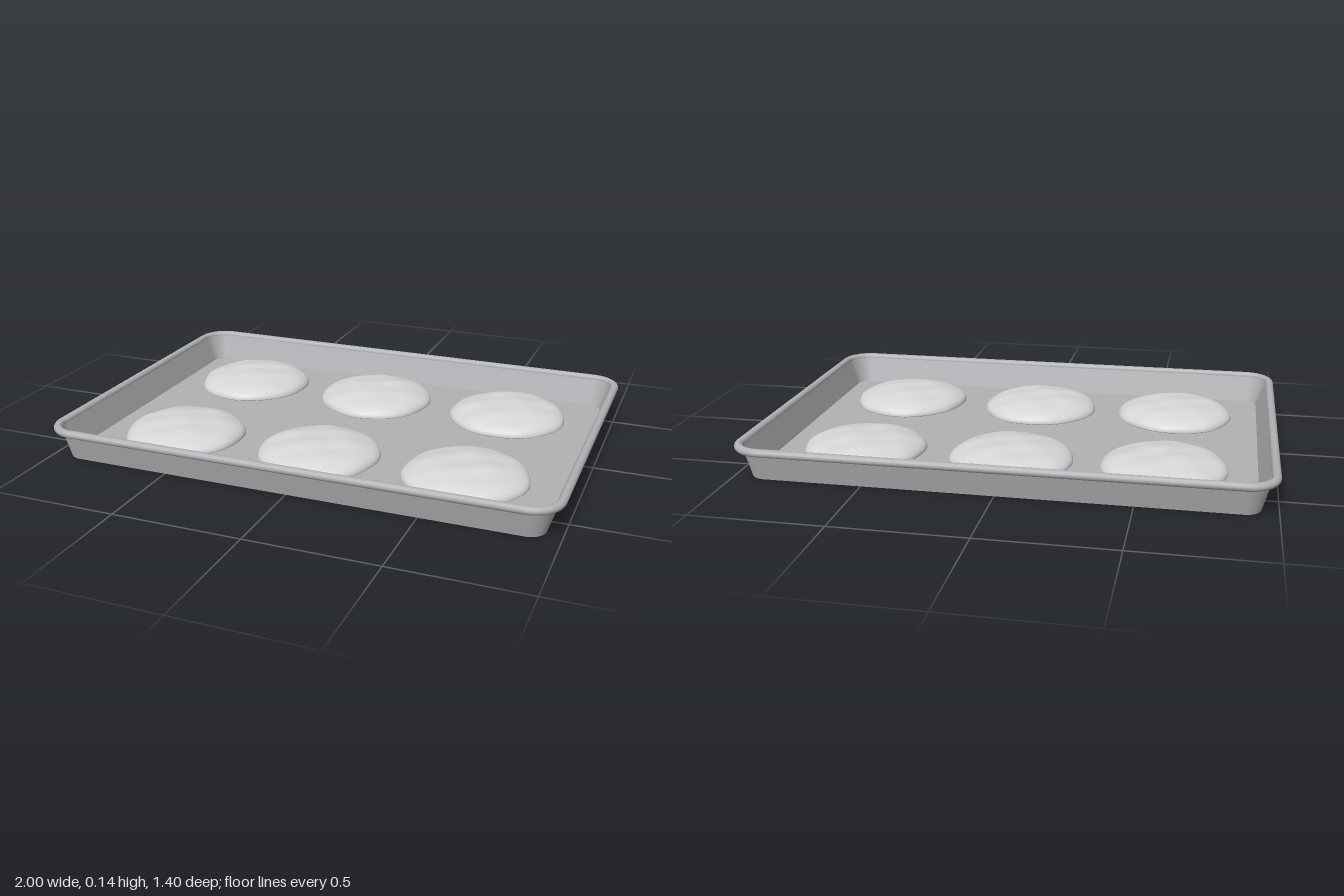
import * as THREE from 'three';
import { mergeVertices } from 'three/addons/utils/BufferGeometryUtils.js';

const HALF_X = 1, HALF_Z = 0.7, CORNER = 0.12, STEPS = 10;

// Rounded rectangle loop, pulled in from the rim's outer edge by inset
function ring(inset, y) {
  const r = Math.max(CORNER - inset, 0);
  const cx = HALF_X - inset - r, cz = HALF_Z - inset - r;
  const points = [];
  [[1, 1], [-1, 1], [-1, -1], [1, -1]].forEach(([sx, sz], q) => {
    for (let i = 0; i <= STEPS; i++) {
      const a = (q + i / STEPS) * Math.PI / 2;
      points.push(sx * cx + r * Math.cos(a), y, sz * cz + r * Math.sin(a));
    }
  });
  return points;
}

// Smooth band through a list of [inset, y] loops
function band(profile) {
  const n = 4 * (STEPS + 1), index = [];
  for (let j = 0; j < profile.length - 1; j++) {
    for (let i = 0; i < n; i++) {
      const a = j * n + i, b = j * n + (i + 1) % n;
      index.push(a, a + n, b, b, a + n, b + n);
    }
  }
  const g = new THREE.BufferGeometry();
  g.setAttribute('position', new THREE.Float32BufferAttribute(profile.flatMap(([d, y]) => ring(d, y)), 3));
  g.setIndex(index);
  g.computeVertexNormals();
  return g;
}

// Puffy, slightly uneven round with a flat underside
function doughGeometry(seed) {
  let g = new THREE.IcosahedronGeometry(1, 20);
  g.deleteAttribute('normal');
  g.deleteAttribute('uv');
  g = mergeVertices(g, 1e-4);
  const p = g.attributes.position;
  for (let i = 0; i < p.count; i++) {
    const x = p.getX(i), y = p.getY(i), z = p.getZ(i);
    const a = Math.atan2(z, x), rim = Math.hypot(x, z);
    const wobble = 1 + rim * (0.012 * Math.sin(3 * a + seed * 2.1) + 0.008 * Math.sin(7 * a + seed * 4.3));
    const lumps = 0.003 * (Math.sin(7 * x + seed * 3) * Math.cos(6 * z + seed)
      + 0.6 * Math.sin(11 * z + 5 * x + seed * 5));
    const height = y > 0 ? 0.066 * Math.pow(y, 0.9) + lumps * y : 0.02 * y;
    p.setXYZ(i, x * 0.238 * wobble, height, z * 0.238 * wobble);
  }
  g.computeVertexNormals();
  return g;
}

export function createModel() {
  const metal = new THREE.MeshStandardMaterial({ color: 0xb0b1b4 });
  metal.name = 'tray metal';
  const dough = new THREE.MeshStandardMaterial({ color: 0xd6d6d6 });
  dough.name = 'pale dough';

  const model = new THREE.Group();
  model.name = 'bakingTray';
  const add = (name, geometry, material) => {
    const mesh = new THREE.Mesh(geometry, material);
    mesh.name = name;
    model.add(mesh);
    return mesh;
  };

  // Tray pan
  add('trayBottom', band([[HALF_Z, 0], [0.06, 0]]), metal);
  add('outerWall', band([[0.06, 0], [0.03, 0.112]]), metal);
  add('innerWall', band([[0.032, 0.12], [0.068, 0.012]]), metal);
  add('trayFloor', band([[0.068, 0.012], [HALF_Z, 0.012]]), metal);

  // Rolled rim
  const bead = [];
  for (let i = 0; i <= 14; i++) {
    const a = THREE.MathUtils.degToRad(-140 + i * 330 / 14);
    bead.push([0.0165 - 0.0165 * Math.cos(a), 0.12 + 0.0155 * Math.sin(a)]);
  }
  add('rolledRim', band(bead), metal);

  // Two rows of three rounds
  [-0.327, 0.32].forEach((z, row) => {
    [-0.585, 0, 0.585].forEach((x, col) => {
      add('doughRound', doughGeometry(row * 3 + col + 1), dough).position.set(x, 0.03, z);
    });
  });
  return model;
}
